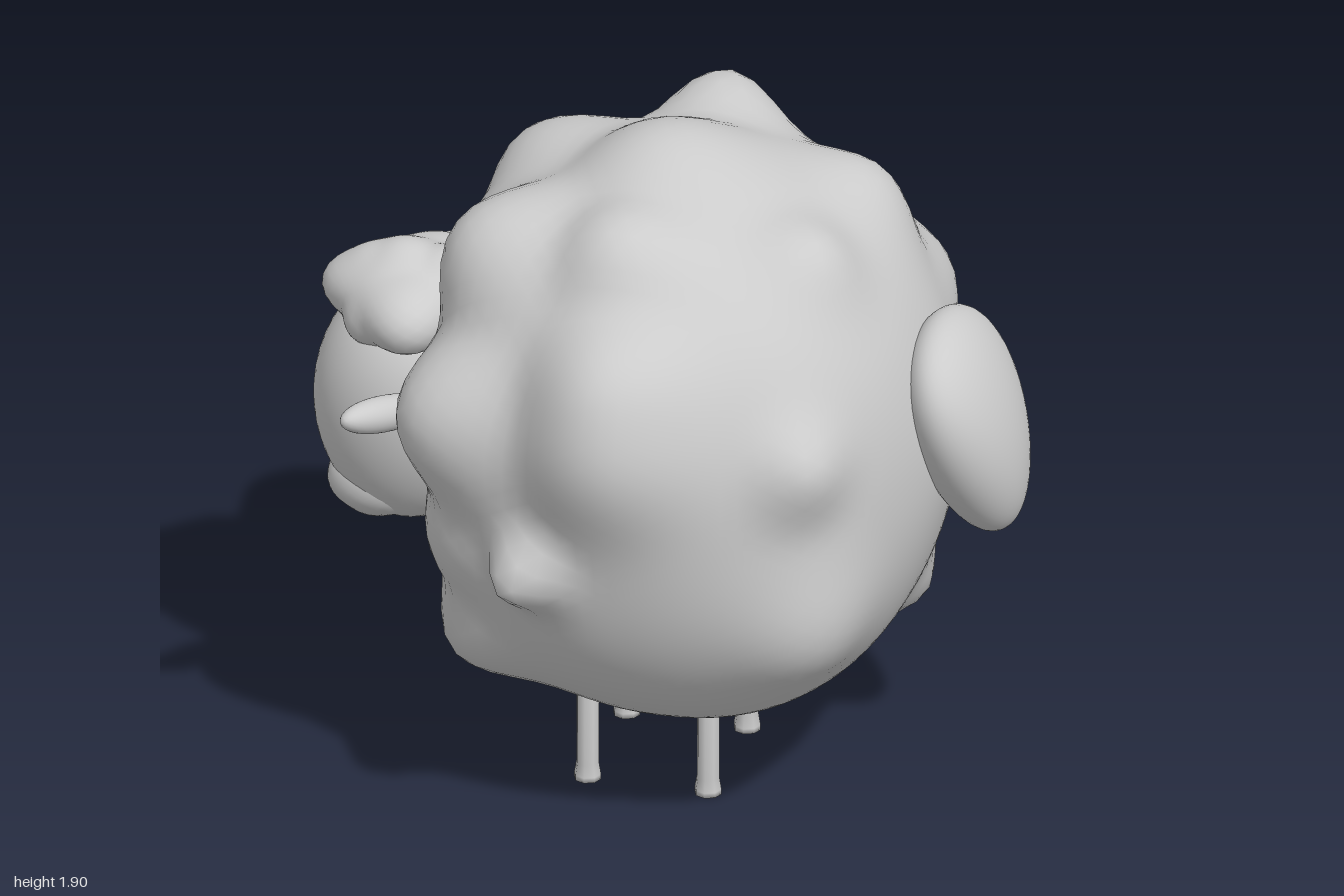
import * as THREE from 'three';
import { mergeVertices } from 'three/addons/utils/BufferGeometryUtils.js';

const material = new THREE.MeshStandardMaterial({ color: 0xcccccc, roughness: 0.9 });

function addMesh(parent, name, geometry) {
  const mesh = new THREE.Mesh(geometry, material);
  mesh.name = name;
  parent.add(mesh);
  return mesh;
}

// Smooth unit ball with shared vertices
function ball(detail) {
  const g = new THREE.IcosahedronGeometry(1, detail);
  g.deleteAttribute('uv');
  g.deleteAttribute('normal');
  return mergeVertices(g, 1e-4);
}

// Move every vertex of a geometry by a rule
function reshape(geometry, rule) {
  const p = geometry.attributes.position;
  const v = new THREE.Vector3();
  for (let i = 0; i < p.count; i++) {
    rule(v.fromBufferAttribute(p, i));
    p.setXYZ(i, v.x, v.y, v.z);
  }
  geometry.computeVertexNormals();
  return geometry;
}

// Rounded mass whose surface swells out to each bump's peak; bump = [x, y, z, width]
function woolBlob(centre, radii, power, bumps, detail) {
  const c = new THREE.Vector3(...centre);
  const baseRadius = (d) => Math.pow(
    Math.pow(Math.abs(d.x) / radii[0], power) +
    Math.pow(Math.abs(d.y) / radii[1], power) +
    Math.pow(Math.abs(d.z) / radii[2], power), -1 / power);
  const peaks = bumps.map(([x, y, z, width]) => {
    const dir = new THREE.Vector3(x, y, z).sub(c);
    const length = dir.length();
    dir.normalize();
    return { dir, width, height: Math.max(0, length - baseRadius(dir)) };
  });
  return reshape(ball(detail), (v) => {
    v.normalize();
    let sum = 0;
    for (const { dir, width, height } of peaks) {
      const falloff = Math.exp(-Math.pow(v.distanceTo(dir) / width, 2));
      sum += Math.pow(height * falloff, 3);
    }
    v.multiplyScalar(baseRadius(v) + Math.cbrt(sum)).add(c);
  });
}

export function createModel() {
  const sheep = new THREE.Group();
  sheep.name = 'sheep';

  // Woolly body
  const fleeceBumps = [
    // crown
    [-0.03, 1.9, 0, 0.3], [-0.05, 1.8, 0.45, 0.22], [0, 1.8, -0.58, 0.2],
    [-0.51, 1.69, 0.32, 0.28], [-0.5, 1.68, -0.3, 0.28],
    [0.5, 1.73, 0.25, 0.17], [0.52, 1.7, -0.3, 0.2],
    // front flank
    [0, 1.3, 0.86, 0.28], [0, 1.48, 0.8, 0.26], [-0.25, 0.86, 0.83, 0.13],
    [0.58, 1.23, 0.65, 0.16], [0.58, 0.66, 0.59, 0.24], [-0.5, 0.45, 0.42, 0.22],
    [-0.59, 1.25, 0.62, 0.28], [-0.54, 0.8, 0.5, 0.25],
    // back flank
    [0.1, 1.25, -0.86, 0.3], [0.08, 0.74, -0.82, 0.25], [-0.59, 1.25, -0.61, 0.28],
    [0.62, 1.3, -0.59, 0.22], [-0.5, 0.65, -0.5, 0.26], [0.5, 0.6, -0.55, 0.25],
    // rump and chest
    [0.65, 0.45, -0.27, 0.14], [0.8, 1.05, 0, 0.35], [-0.59, 0.6, 0, 0.25],
    [-0.59, 1.52, 0, 0.3],
  ];
  addMesh(sheep, 'fleece', woolBlob([0.08, 1.02, 0], [0.69, 0.79, 0.765], 2.25, fleeceBumps, 18));

  // Head: face, muzzle and woolly forelock
  const head = new THREE.Group();
  head.name = 'head';
  sheep.add(head);
  addMesh(head, 'face', reshape(ball(8), (v) => {
    const narrow = 1 + 0.15 * v.y;
    v.set(-0.74 + v.x * 0.26, 0.99 + v.y * 0.36, v.z * 0.23 * narrow);
  }));
  addMesh(head, 'muzzle', woolBlob([-0.81, 0.75, 0], [0.14, 0.11, 0.14], 2.2,
    [[-0.84, 0.62, 0, 0.6], [-0.95, 0.73, 0.06, 0.5], [-0.95, 0.73, -0.06, 0.5]], 7));
  addMesh(head, 'forelock', woolBlob([-0.73, 1.31, 0], [0.18, 0.115, 0.2], 2.2, [
    [-0.98, 1.32, 0, 0.5], [-0.76, 1.46, 0, 0.7], [-0.88, 1.42, 0, 0.5],
    [-0.84, 1.23, 0.18, 0.4], [-0.84, 1.23, -0.18, 0.4],
    [-0.68, 1.3, 0.28, 0.5], [-0.68, 1.3, -0.28, 0.5], [-0.58, 1.44, 0, 0.5],
  ], 9));

  // Leaf-shaped ears, fullest in the outer half
  for (const side of [1, -1]) {
    const ear = addMesh(head, side > 0 ? 'leftEar' : 'rightEar', reshape(ball(5), (v) => {
      const fullness = 1 + 0.15 * v.y;
      v.set(v.x * 0.05 * fullness, v.y * 0.19, v.z * 0.05 * fullness);
    }));
    ear.position.set(side > 0 ? -0.675 : -0.7, 1.15, side * 0.42);
    ear.quaternion.setFromUnitVectors(new THREE.Vector3(0, 1, 0),
      new THREE.Vector3(-0.095, 0.04, side * 0.17).normalize());
  }

  // Drooping tail, broad-shouldered above and narrow at the tip
  addMesh(sheep, 'tail', reshape(ball(9), (v) => {
    const width = 0.225 + 0.085 * v.y;
    const lean = 0.84 - 0.07 * v.y;
    v.set(lean + v.x * 0.15, 1.115 + v.y * 0.315, v.z * width * 1.08 - 0.01);
  }));

  // Legs with slightly flared hooves
  const legProfile = [[0, 0], [0.038, 0], [0.038, 0.015], [0.032, 0.05], [0.031, 0.4], [0, 0.4]]
    .map(([r, y]) => new THREE.Vector2(r, y));
  const legGeometry = new THREE.LatheGeometry(legProfile, 8);
  for (const x of [0.165, -0.175]) {
    for (const z of [0.21, -0.19]) {
      const name = (x < 0 ? 'front' : 'rear') + (z > 0 ? 'Left' : 'Right') + 'Leg';
      addMesh(sheep, name, legGeometry).position.set(x, 0, z);
    }
  }
  return sheep;
}
